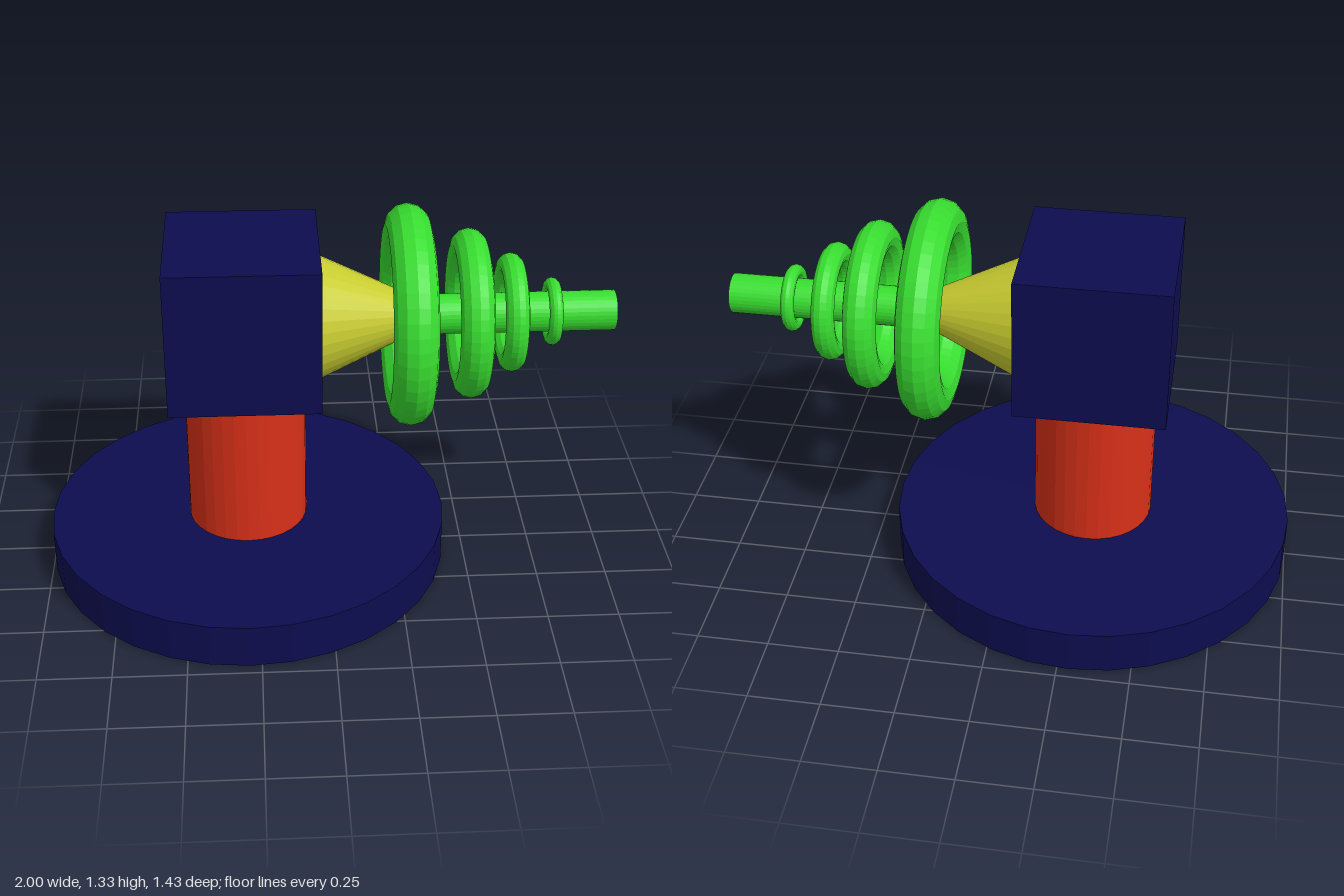
import * as THREE from 'three';

const NAVY = 0x0d0d50, RED = 0xd83018, YELLOW = 0xc8cc30, GREEN = 0x38dd30;
const POST_X = -0.287; // axis of base, column and head
const AXIS_Y = 0.94;   // height of the horizontal barrel axis

export function createModel() {
  const model = new THREE.Group();
  model.name = 'model';

  const add = (parent, name, geometry, color, x, y) => {
    const material = new THREE.MeshStandardMaterial({ color, flatShading: true });
    const mesh = new THREE.Mesh(geometry, material);
    mesh.name = name;
    mesh.position.set(x, y, 0);
    parent.add(mesh);
    return mesh;
  };

  // Cylinder or cone lying along x, from x0 (radius r0) to x1 (radius r1)
  const alongX = (x0, x1, r0, r1) =>
    new THREE.CylinderGeometry(r1, r0, x1 - x0, 32)
      .rotateZ(-Math.PI / 2)
      .translate((x0 + x1) / 2, 0, 0);

  // Stand: round base, column and cubic head
  add(model, 'base', new THREE.CylinderGeometry(0.713, 0.713, 0.157, 32), NAVY, POST_X, 0.0785);
  add(model, 'column', new THREE.CylinderGeometry(0.213, 0.213, 0.56, 32), RED, POST_X, 0.43);
  add(model, 'head', new THREE.BoxGeometry(0.523, 0.523, 0.523), NAVY, POST_X, 0.966);

  // Barrel: tapered collar, shaft and shrinking rings
  const barrel = new THREE.Group();
  barrel.name = 'barrel';
  barrel.position.y = AXIS_Y;
  model.add(barrel);
  add(barrel, 'collar', alongX(-0.03, 0.29, 0.216, 0.07), YELLOW, 0, 0);
  add(barrel, 'shaft', alongX(0.25, 1, 0.07, 0.07), GREEN, 0, 0);

  // Each ring: x position, ring radius, tube radius
  const rings = [
    [0.283, 0.309, 0.076],
    [0.495, 0.237, 0.058],
    [0.639, 0.166, 0.041],
    [0.783, 0.094, 0.024],
  ];
  rings.forEach(([x, radius, tube], i) => {
    const geometry = new THREE.TorusGeometry(radius, tube, 12, 48).rotateY(Math.PI / 2);
    add(barrel, `ring${i + 1}`, geometry, GREEN, x, 0);
  });

  return model;
}
